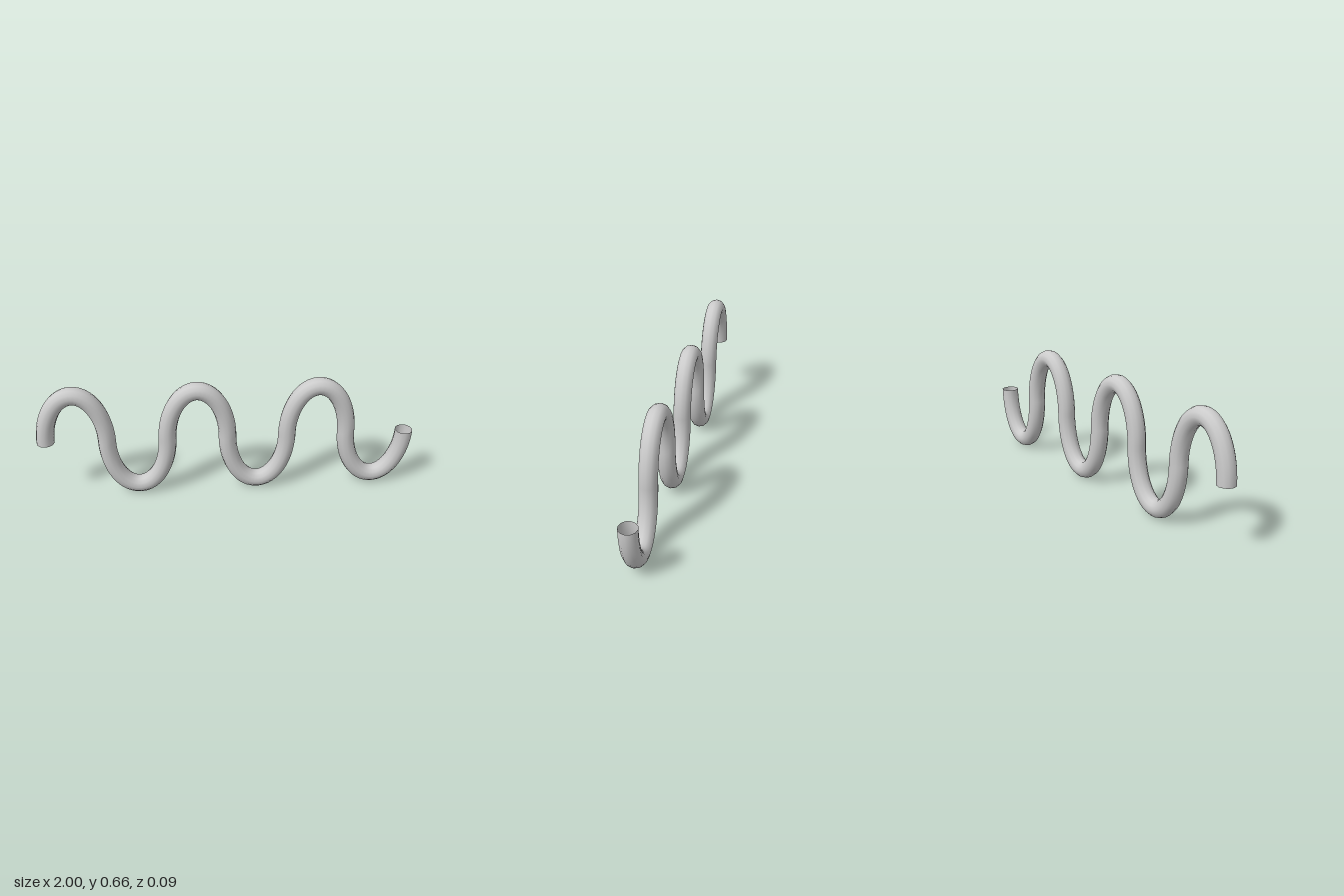
import * as THREE from 'three';

const BENDS = 6;        // alternating crests and troughs
const HALF = 0.953;     // half length of the centre line
const MID_Y = 0.3305;   // height where the bends meet
const RISE = 0.282;     // height of each bend above or below the middle
const RADIUS = 0.047;
const TRIM = 0.025;     // small angle cut off both ends

// Centre line made of half ellipses, alternately above and below the middle
class SerpentineCurve extends THREE.Curve {
  getPoint(t, target = new THREE.Vector3()) {
    const angle = TRIM + t * (BENDS * Math.PI - 2 * TRIM);
    const bend = Math.min(BENDS - 1, Math.floor(angle / Math.PI));
    const local = angle - bend * Math.PI;
    const width = (2 * HALF) / BENDS;
    const x = -HALF + width * (bend + 0.5 - 0.5 * Math.cos(local));
    return target.set(x, MID_Y + RISE * Math.sin(angle), 0);
  }
}

export function createModel() {
  const group = new THREE.Group();
  group.name = 'serpentinePipe';

  // Hollow pipe, open at both ends
  const path = new SerpentineCurve();
  path.arcLengthDivisions = 1200;
  const pipe = new THREE.Mesh(
    new THREE.TubeGeometry(path, 200, RADIUS, 12, false),
    new THREE.MeshStandardMaterial({ color: 0xcccccc, side: THREE.DoubleSide })
  );
  pipe.name = 'pipe';
  group.add(pipe);
  return group;
}
